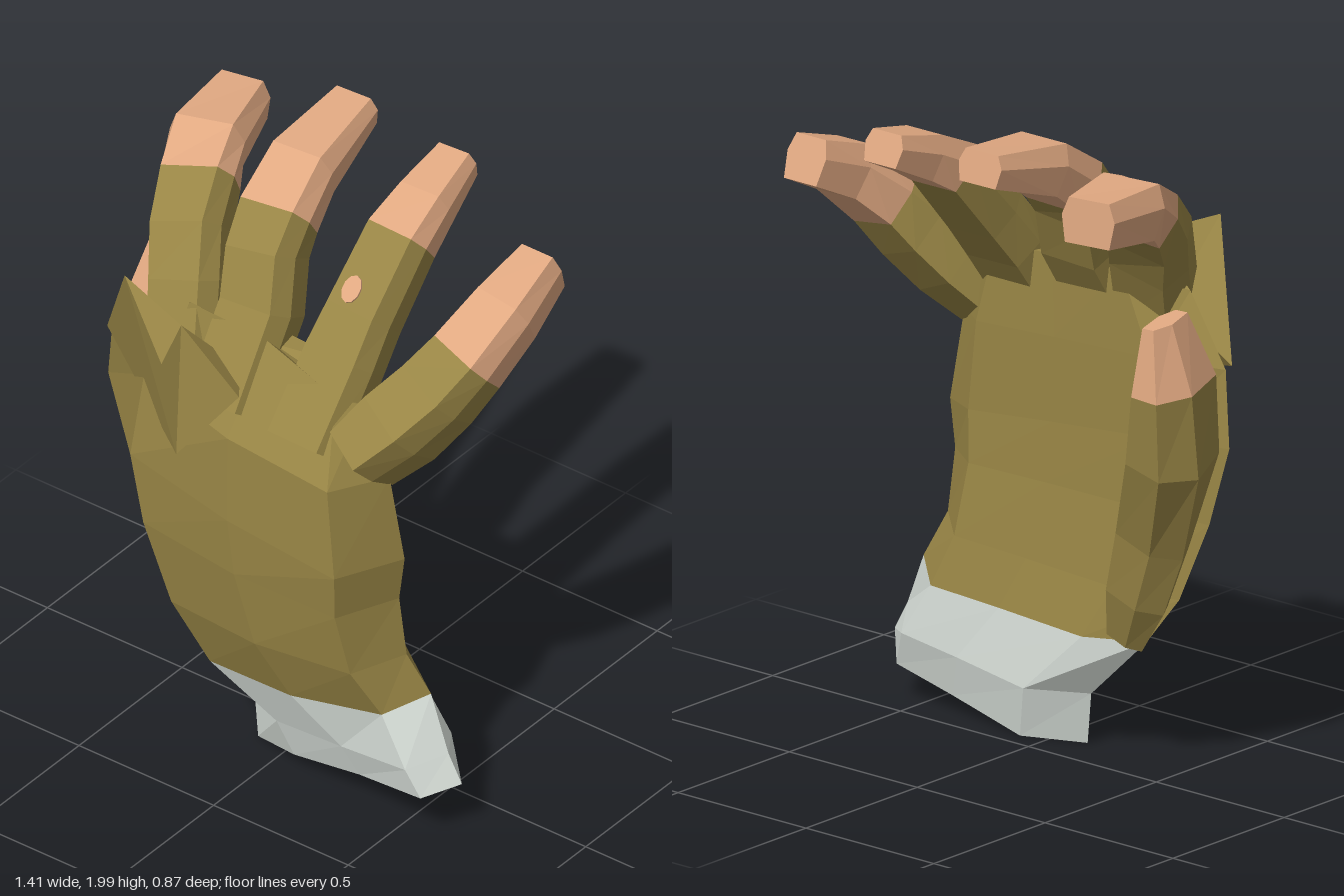
import * as THREE from 'three';
import { ConvexGeometry } from 'three/addons/geometries/ConvexGeometry.js';

const V = (x, y, z) => new THREE.Vector3(x, y, z);
const mat = (name, color) => {
  const m = new THREE.MeshStandardMaterial({ color });
  m.name = name;
  return m;
};

// Faceted skin through rings of points, with optional end caps
function loft(rings, capStart, capEnd) {
  const pos = [];
  const tri = (...pts) => pts.forEach(p => pos.push(p.x, p.y, p.z));
  const n = rings[0].length;
  for (let r = 0; r + 1 < rings.length; r++) {
    for (let i = 0; i < n; i++) {
      const j = (i + 1) % n;
      const a = rings[r][i], b = rings[r][j], c = rings[r + 1][j], d = rings[r + 1][i];
      tri(a, b, c);
      tri(a, c, d);
    }
  }
  const cap = (ring, flip) => {
    const mid = ring.reduce((s, p) => s.add(p), V(0, 0, 0)).divideScalar(n);
    ring.forEach((p, i) => {
      const q = ring[(i + 1) % n];
      if (flip) tri(mid, q, p); else tri(mid, p, q);
    });
  };
  if (capStart) cap(rings[0], true);
  if (capEnd) cap(rings[rings.length - 1], false);
  const g = new THREE.BufferGeometry();
  g.setAttribute('position', new THREE.Float32BufferAttribute(pos, 3));
  g.computeVertexNormals();
  return g;
}

// Six-sided finger rings; each station is [x, y, z, width, thickness]
const FINGER = [[-0.5, 0.1], [-0.38, 0.5], [0.38, 0.5], [0.5, 0.1], [0.42, -0.5], [-0.42, -0.5]];
const THUMB = [[-0.5, -0.1], [-0.28, 0.5], [0.3, 0.5], [0.5, 0.1], [0.32, -0.5], [-0.22, -0.5]];
function fingerRings(stations, section) {
  const centres = stations.map(s => V(s[0], s[1], s[2]));
  return stations.map((s, i) => {
    const from = centres[Math.max(i - 1, 0)];
    const to = centres[Math.min(i + 1, centres.length - 1)];
    const along = to.clone().sub(from).normalize();
    const side = V(1, 0, 0).addScaledVector(along, -along.x).normalize();
    const back = side.clone().cross(along);
    return section.map(([u, v]) =>
      centres[i].clone().addScaledVector(side, u * s[3]).addScaledVector(back, v * s[4]));
  });
}

// Hand ring: left edge, right edge, depths at the left third, middle, right corner
// and palm side, then the lift of the back-of-hand points and of the palm-side points
function handRing([xL, yL, zL, xR, yR, zR, zThird, zMid, zCorner, zPalm, lift, palmLift]) {
  const at = (u, z, dy = 0) =>
    V(THREE.MathUtils.lerp(xL, xR, u), THREE.MathUtils.lerp(yL, yR, u) + dy, z);
  return [
    at(0, zL), at(0.24, zThird, lift), at(0.58, zMid, lift * 0.8), at(0.92, zCorner, lift * 0.3),
    at(1, zR), at(0.88, zPalm, palmLift), at(0.6, zPalm, palmLift), at(0.25, zPalm - 0.01, palmLift),
  ];
}

export function createModel() {
  const hand = new THREE.Group();
  hand.name = 'glovedHand';
  const glove = mat('olive glove', 0x988545);
  const skin = mat('skin', 0xe0a881);
  const cloth = mat('grey cuff', 0xd6ddd7);
  const add = (name, geometry, material) => {
    const m = new THREE.Mesh(geometry, material);
    m.name = name;
    hand.add(m);
    return m;
  };

  // Cuff and palm share the wrist ring
  const rings = [
    [-0.11, 0.00, 0.14, 0.67, 0.18, 0.17, 0.21, 0.24, 0.29, 0.07, 0.01, -0.045],
    [-0.15, 0.17, 0.11, 0.62, 0.27, 0.17, 0.24, 0.27, 0.30, 0.035, -0.02, -0.03],
    [-0.41, 0.40, 0.06, 0.54, 0.44, 0.15, 0.28, 0.31, 0.29, 0.05, -0.09, -0.04],
    [-0.52, 0.55, 0.08, 0.48, 0.58, 0.19, 0.34, 0.38, 0.36, 0.08, -0.03, -0.02],
    [-0.62, 0.80, 0.10, 0.46, 0.78, 0.20, 0.37, 0.41, 0.40, 0.11, 0, 0],
    [-0.69, 1.05, 0.11, 0.48, 0.93, 0.20, 0.37, 0.42, 0.42, 0.12, 0, 0],
    [-0.65, 1.28, 0.14, 0.44, 1.22, 0.22, 0.33, 0.41, 0.41, 0.12, 0.03, 0],
    [-0.46, 1.47, 0.20, 0.34, 1.43, 0.21, 0.26, 0.24, 0.27, 0.13, 0.11, 0.05],
  ].map(handRing);
  add('cuff', loft(rings.slice(0, 3), true, false), cloth);
  add('palm', loft(rings.slice(2), false, true), glove);

  // Pointed knuckle folds on the back of the hand
  const peak = V(-0.22, 1.57, 0.37), low = V(-0.2, 1.14, 0.42);
  add('knuckleFold', new ConvexGeometry([
    V(-0.43, 1.66, 0.37), peak, V(-0.24, 1.46, 0.44), low, V(-0.64, 1.28, 0.18), V(-0.36, 1.4, 0.22),
  ]), glove);
  add('knuckleFoldSide', new ConvexGeometry([
    peak, low, V(0.01, 1.42, 0.39), V(-0.1, 1.4, 0.24),
  ]), glove);

  // Fingers: glove sleeve up to station "split", bare skin beyond it
  const fingers = {
    indexFinger: { split: 3, path: [
      [-0.28, 1.34, 0.27, 0.22, 0.18], [-0.35, 1.56, 0.16, 0.23, 0.18], [-0.41, 1.68, 0.08, 0.23, 0.18],
      [-0.46, 1.775, -0.03, 0.24, 0.17], [-0.51, 1.83, -0.14, 0.24, 0.17], [-0.555, 1.845, -0.37, 0.18, 0.14]] },
    middleFinger: { split: 3, path: [
      [-0.1, 1.3, 0.31, 0.24, 0.18], [-0.1, 1.56, 0.14, 0.24, 0.18], [-0.13, 1.71, 0.075, 0.23, 0.18],
      [-0.145, 1.795, 0, 0.24, 0.17], [-0.16, 1.885, -0.14, 0.22, 0.16], [-0.175, 1.945, -0.42, 0.16, 0.1]] },
    ringFinger: { split: 3, path: [
      [0.2, 1.28, 0.31, 0.24, 0.18], [0.205, 1.5, 0.14, 0.24, 0.17], [0.21, 1.61, 0.05, 0.22, 0.17],
      [0.22, 1.8, -0.12, 0.21, 0.16], [0.22, 1.86, -0.24, 0.18, 0.14], [0.21, 1.92, -0.41, 0.14, 0.1]] },
    littleFinger: { split: 3, path: [
      [0.37, 1.29, 0.27, 0.19, 0.24], [0.45, 1.39, 0.19, 0.23, 0.25], [0.52, 1.49, 0.1, 0.23, 0.22],
      [0.57, 1.585, 0.02, 0.22, 0.19], [0.61, 1.7, -0.12, 0.2, 0.17], [0.61, 1.77, -0.3, 0.15, 0.14]] },
    thumb: { split: 4, section: THUMB, path: [
      [-0.34, 0.4, 0.05, 0.14, 0.08], [-0.4, 0.55, 0.04, 0.22, 0.15], [-0.47, 0.75, 0.03, 0.25, 0.18],
      [-0.585, 1.03, -0.02, 0.24, 0.26], [-0.615, 1.27, -0.05, 0.18, 0.26], [-0.605, 1.48, -0.08, 0.08, 0.15]] },
  };
  for (const [name, { split, path, section = FINGER }] of Object.entries(fingers)) {
    const r = fingerRings(path, section);
    add(name + 'Sleeve', loft(r.slice(0, split + 1), true, false), glove);
    add(name + 'Tip', loft(r.slice(split), false, true), skin);

    // Small round hole in the ring finger sleeve showing skin
    if (name === 'ringFinger') {
      const [a, b, c, d] = [r[2][1], r[2][2], r[3][2], r[3][1]];
      const normal = b.clone().sub(a).cross(d.clone().sub(a)).normalize();
      const start = a.clone().lerp(b, 0.36), end = d.clone().lerp(c, 0.36);
      const spot = add('sleeveHole', new THREE.CylinderGeometry(0.031, 0.031, 0.008, 10), skin);
      spot.scale.z = 1.4;
      spot.position.copy(start.lerp(end, 0.22)).addScaledVector(normal, 0.003);
      spot.quaternion.setFromUnitVectors(V(0, 1, 0), normal);
    }
  }
  return hand;
}
